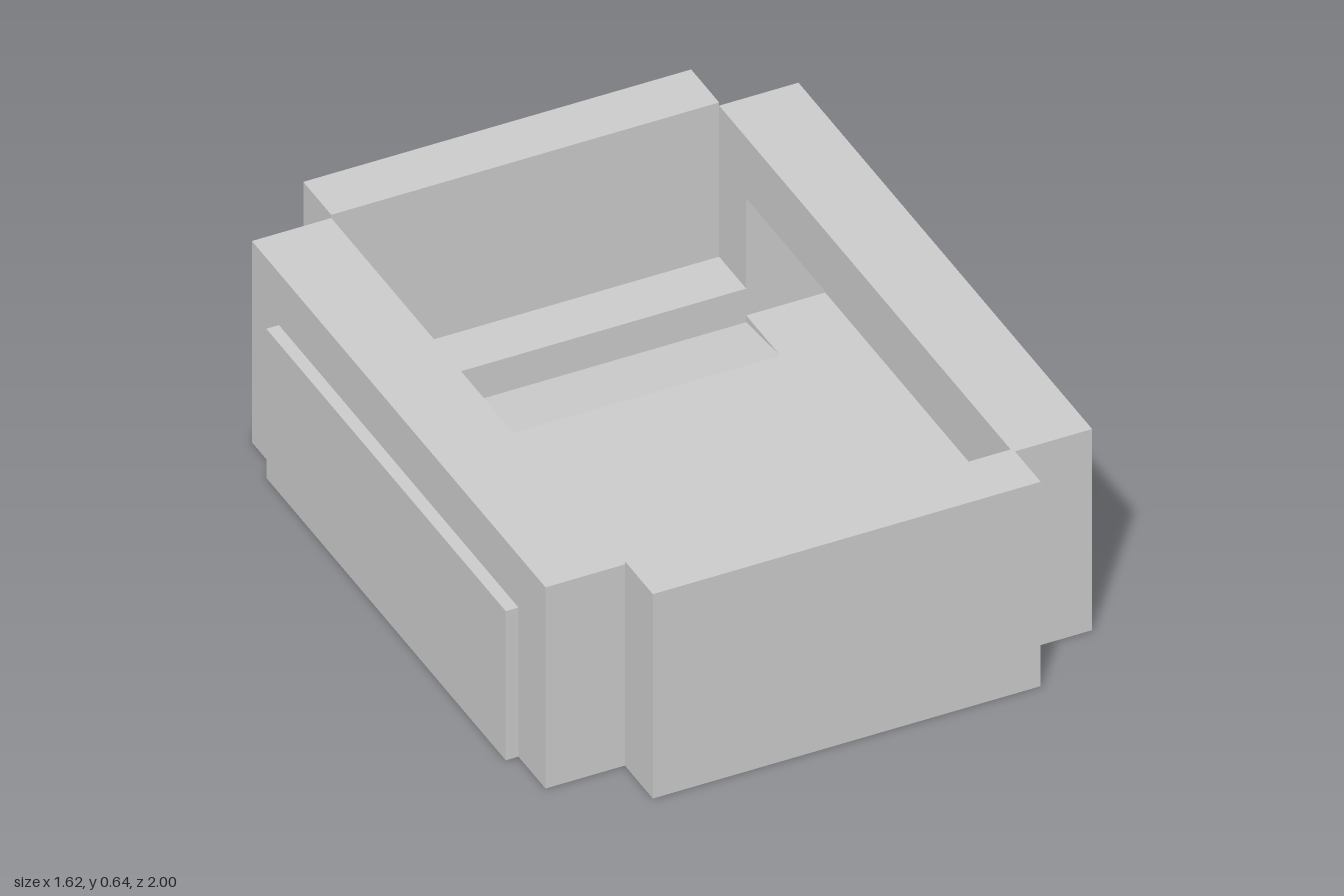
import * as THREE from 'three';

const material = new THREE.MeshStandardMaterial({ color: 0xcccccc, flatShading: true });

// Extrude a (z, y) outline along x, from x0 to x0 + width
function extrudeAlongX(shape, x0, width) {
  const g = new THREE.ExtrudeGeometry(shape, { depth: width, bevelEnabled: false });
  g.rotateY(-Math.PI / 2); // shape x -> +z, depth -> -x
  g.translate(x0 + width, 0, 0);
  return g;
}

const outline = (pts) => new THREE.Shape(pts.map(([z, y]) => new THREE.Vector2(z, y)));

export function createModel() {
  const group = new THREE.Group();
  const add = (name, geometry, x = 0, y = 0, z = 0) => {
    const mesh = new THREE.Mesh(geometry, material);
    mesh.name = name;
    mesh.position.set(x, y, z);
    group.add(mesh);
  };

  const inner = 0.55, outer = 0.775, half = 0.84;
  const floorY = 0.073, nicheZ = 0.685, nicheTop = 0.44, ledgeY = 0.157;

  // Floor: flat middle, gentle dip towards each end, then a raised ledge
  const end = [[0.49, floorY], [nicheZ, 0.052], [nicheZ, ledgeY], [half, ledgeY], [half, 0]];
  const mirrored = end.map(([z, y]) => [-z, y]).reverse();
  add('floor', extrudeAlongX(outline([...mirrored, ...end]), -inner, inner * 2));

  // Side walls with a niche opening, closed outside by a thin panel
  const wall = outline([[-half, 0], [half, 0], [half, 0.63], [-half, 0.63]]);
  wall.holes.push(new THREE.Path([
    [-nicheZ, floorY], [-nicheZ, nicheTop], [nicheZ, nicheTop], [nicheZ, floorY],
  ].map(([z, y]) => new THREE.Vector2(z, y))));
  for (const [side, s] of [['left', 1], ['right', -1]]) {
    add(side + 'Wall', extrudeAlongX(wall, s > 0 ? inner : -outer, outer - inner));
    add(side + 'Panel', new THREE.BoxGeometry(0.037, 0.467, nicheZ * 2), s * 0.7925, 0.2335, 0);
  }

  // End walls
  for (const [name, s] of [['frontWall', 1], ['backWall', -1]]) {
    add(name, new THREE.BoxGeometry(inner * 2, 0.64, 0.16), 0, 0.32, s * 0.92);
  }
  return group;
}
